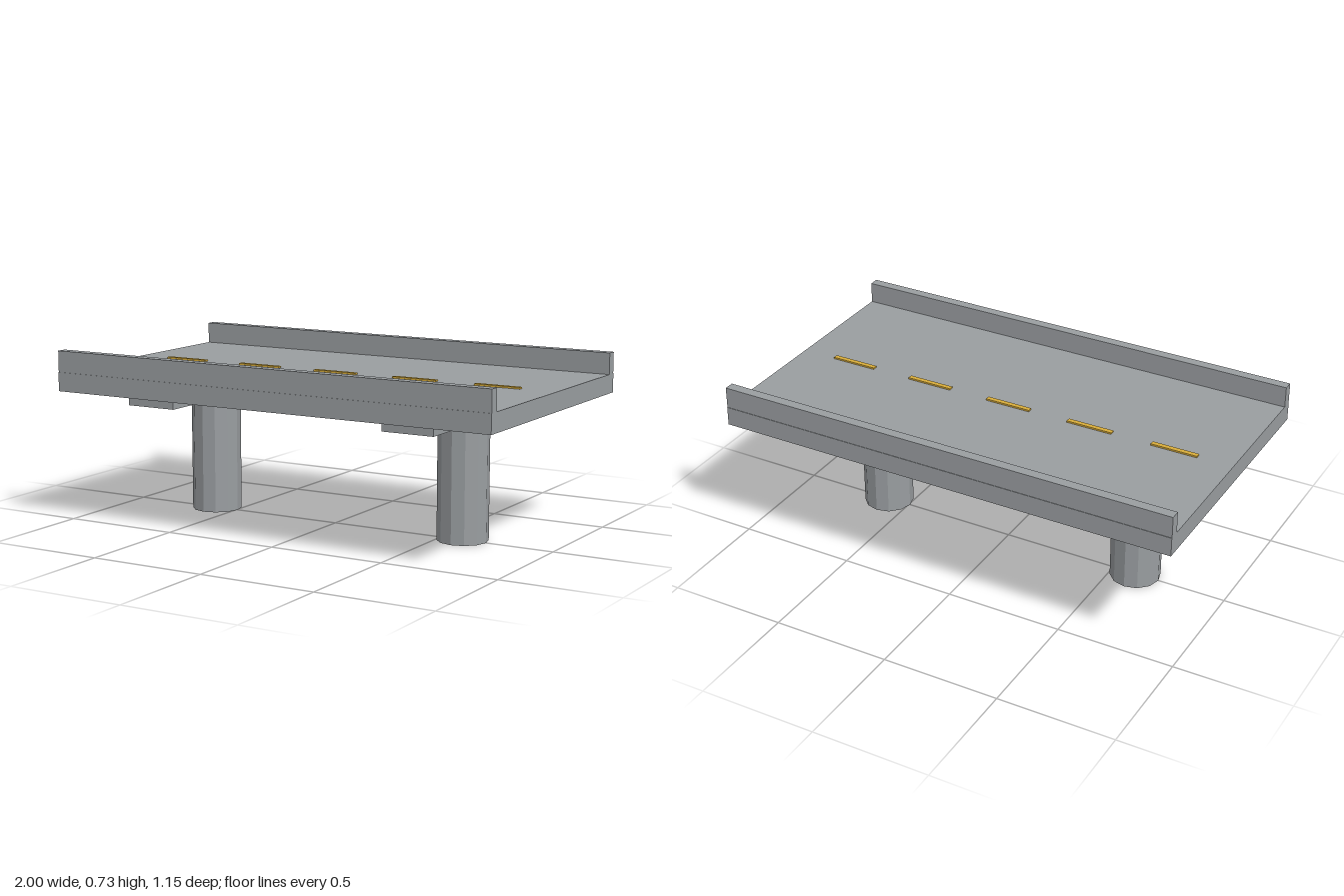
import * as THREE from 'three';

export function createModel() {
  const concrete = new THREE.MeshStandardMaterial({ color: 0x9a9ea1, flatShading: true });
  concrete.name = 'concrete';
  const paint = new THREE.MeshStandardMaterial({ color: 0xd8ac3a });
  paint.name = 'yellowPaint';

  const bridge = new THREE.Group();
  bridge.name = 'bridgeSection';

  const add = (name, geometry, material, x, y, z) => {
    const mesh = new THREE.Mesh(geometry, material);
    mesh.name = name;
    mesh.position.set(x, y, z);
    bridge.add(mesh);
  };

  // Road deck
  add('deck', new THREE.BoxGeometry(2, 0.08, 1.15), concrete, 0, 0.6, 0);

  // Side barriers along both edges
  const barrier = new THREE.BoxGeometry(2, 0.09, 0.042);
  add('frontBarrier', barrier, concrete, 0, 0.685, 0.552);
  add('backBarrier', barrier, concrete, 0, 0.685, -0.552);

  // Round piers with crossbeams under the deck
  const pier = new THREE.CylinderGeometry(0.106, 0.106, 0.512, 12);
  const crossbeam = new THREE.BoxGeometry(0.225, 0.05, 0.954);
  for (const [side, x] of [['left', 0.6], ['right', -0.6]]) {
    add(side + 'Pier', pier, concrete, x, 0.256, 0);
    add(side + 'Crossbeam', crossbeam, concrete, x, 0.536, 0);
  }

  // Dashed centre line
  const dash = new THREE.BoxGeometry(0.2, 0.007, 0.021);
  for (let i = -2; i <= 2; i++) {
    add('laneDash' + (i + 3), dash, paint, i * 0.374, 0.6435, 0);
  }

  return bridge;
}
